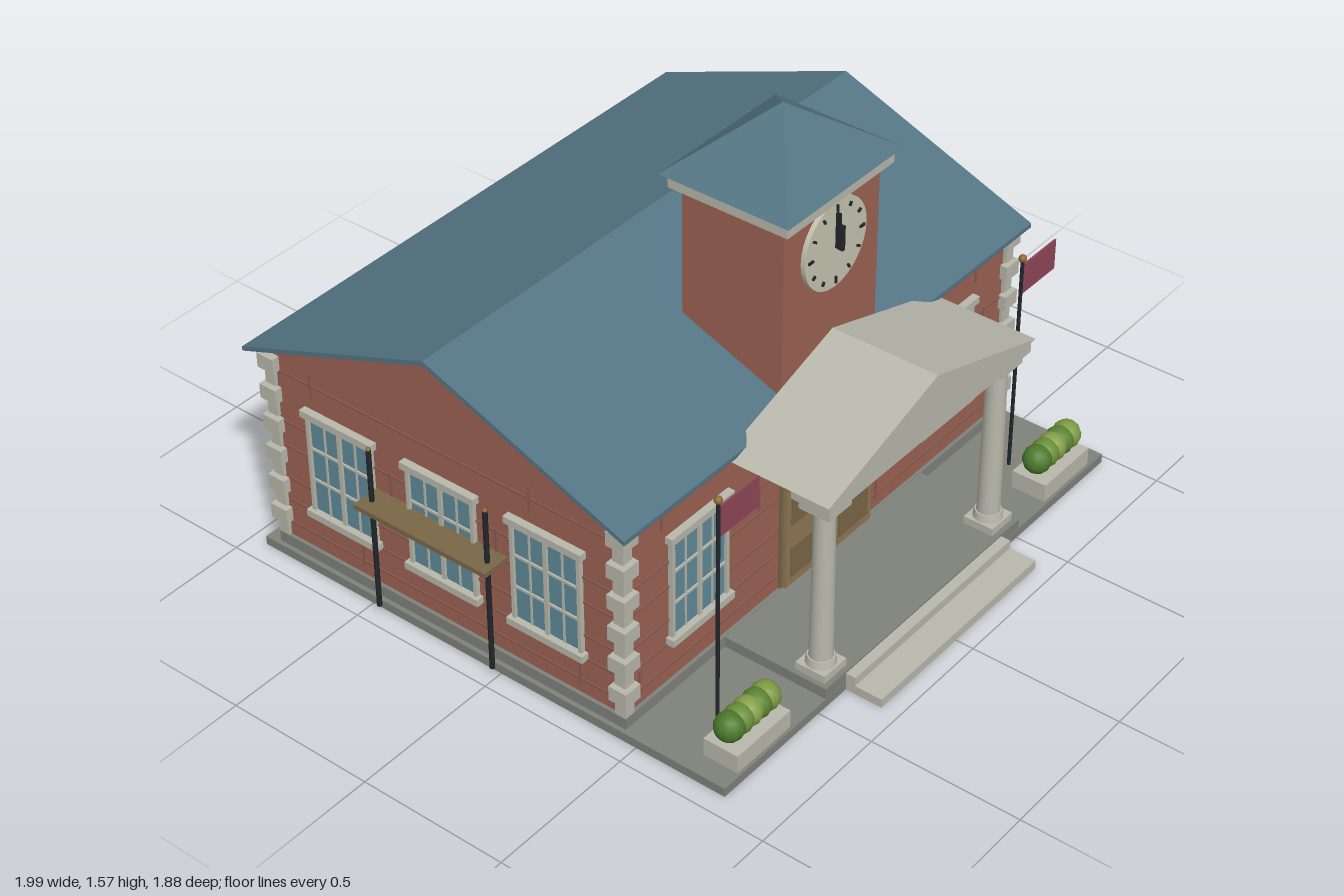
import * as THREE from 'three';

const mat = (color) => new THREE.MeshStandardMaterial({ color });
const M = {
  brick: mat(0x9c6253), mortar: mat(0x8a5a4e), stone: mat(0xb8b8ac), paving: mat(0x80827b),
  roof: mat(0x547584), glass: mat(0x5f8a99), wood: mat(0x8f7853), panel: mat(0x7a6747),
  dark: mat(0x22262a), gold: mat(0x8a6a35), flag: mat(0x8f4656), dial: mat(0xc6c4b0),
};
M.flag.side = THREE.DoubleSide;
const greens = [0x4d7a2c, 0x6b8f3a, 0x86a048, 0x5a8434, 0x7d9a45].map(mat);

function add(parent, name, geometry, material, x = 0, y = 0, z = 0) {
  const mesh = new THREE.Mesh(geometry, material);
  mesh.name = name;
  mesh.position.set(x, y, z);
  parent.add(mesh);
  return mesh;
}
// Box given by its extents on each axis
function box(parent, name, material, x0, x1, y0, y1, z0, z1) {
  return add(parent, name, new THREE.BoxGeometry(x1 - x0, y1 - y0, z1 - z0), material,
    (x0 + x1) / 2, (y0 + y1) / 2, (z0 + z1) / 2);
}
function group(parent, name, x = 0, y = 0, z = 0, turn = 0) {
  const g = new THREE.Group();
  g.name = name;
  g.position.set(x, y, z);
  g.rotation.y = turn;
  parent.add(g);
  return g;
}
const extrude = (points, depth) => new THREE.ExtrudeGeometry(
  new THREE.Shape(points.map(([x, y]) => new THREE.Vector2(x, y))), { depth, bevelEnabled: false });
// Section drawn in (z, y), centred along x
const alongX = (points, width) => extrude(points.map(([z, y]) => [-z, y]).reverse(), width)
  .rotateY(Math.PI / 2).translate(-width / 2, 0, 0);

// Sash window facing +z, standing on y = 0
function addWindow(parent, x, z, turn) {
  const w = group(parent, 'window', x, 0.23, z, turn);
  const h = 0.34, r = 0.122;
  box(w, 'glass', M.glass, -r, r, 0, h, -0.01, 0.006);
  for (const s of [-1, 1]) {
    box(w, 'frameSide', M.stone, s * r - 0.006, s * r + 0.006, 0, h, -0.01, 0.016);
    box(w, 'glazingBar', M.stone, s * 0.06 - 0.003, s * 0.06 + 0.003, 0, h, 0, 0.01);
  }
  box(w, 'mullion', M.stone, -0.007, 0.007, 0, h, 0, 0.014);
  for (const y of [h / 3, 2 * h / 3]) box(w, 'crossBar', M.stone, -r, r, y - 0.004, y + 0.004, 0, 0.012);
  box(w, 'lintel', M.stone, -0.14, 0.14, h, h + 0.024, -0.01, 0.025);
  box(w, 'sill', M.stone, -0.14, 0.14, -0.024, 0, -0.01, 0.028);
}

// Raised courses and short upright joints on one wall facing +z
function addCourses(parent, x, z, turn, half, split, rows) {
  const c = group(parent, 'brickCourses', x, 0, z, turn);
  for (const y of rows) box(c, 'course', M.mortar, -half, half, y - 0.004, y + 0.004, -0.005, 0.004);
  split.forEach((p, i) => {
    const y = [0.63, 0.42, 0.1][i % 3];
    box(c, 'joint', M.mortar, p - 0.004, p + 0.004, y, y + 0.09, -0.005, 0.004);
  });
}

export function createModel() {
  const model = new THREE.Group();
  model.name = 'townHall';
  const hall = group(model, 'hall', 0.022);
  const W = 0.925, zF = 0.44, zB = -0.88, zM = -0.22;

  // Ground slab, plinth, porch floor and steps
  box(hall, 'baseSlab', M.paving, -0.952, 0.952, 0, 0.03, -0.94, 0.815);
  box(hall, 'plinth', M.paving, -W - 0.012, W + 0.012, 0.03, 0.068, zB - 0.012, zF + 0.012);
  box(hall, 'porchFloor', M.paving, -0.488, 0.488, 0.03, 0.066, zF, 0.814);
  box(hall, 'lowerStep', M.stone, -0.392, 0.392, 0, 0.03, 0.8, 0.94);
  box(hall, 'upperStep', M.stone, -0.392, 0.392, 0.03, 0.06, 0.78, 0.847);

  // Brick walls with gable ends, and the thin pitched roof
  add(hall, 'walls', alongX([[zB, 0.06], [zF, 0.06], [zF, 0.74], [zM, 1.005], [zB, 0.74]], W * 2), M.brick);
  add(hall, 'roof', alongX([[-0.94, 0.733], [zM, 1.005], [0.487, 0.733], [0.487, 0.748], [zM, 1.022], [-0.94, 0.748]], 1.945), M.roof);
  for (const [a, b] of [[zF, zF + 0.022], [zB - 0.022, zB]]) box(hall, 'cornice', M.stone, -W, W, 0.715, 0.738, a, b);

  // Corner quoins, alternately large and small
  const quoins = group(hall, 'quoins');
  for (let i = 0; i < 12; i++) {
    const s = i % 2 ? 0.064 : 0.038, out = i % 2 ? 0.026 : 0.012, y = 0.068 + i * 0.0555;
    for (const sx of [-1, 1]) for (const sz of [-1, 1]) {
      add(quoins, 'quoin', new THREE.BoxGeometry(s, 0.05, s), M.stone,
        sx * (W + out - s / 2), y + 0.026, zM + sz * (0.66 + out - s / 2));
    }
  }

  // Raised brick joints on all four sides
  const rows = [0.12, 0.205, 0.29, 0.41, 0.5, 0.68];
  for (const s of [-1, 1]) addCourses(hall, s * 0.56, zF, 0, 0.33, [-0.2, 0.24, -0.3, 0.19], rows);
  addCourses(hall, 0, zB, Math.PI, 0.89, [-0.5, 0.3, -0.2, 0.12, -0.75, 0.35], rows);
  for (const s of [-1, 1]) addCourses(hall, s * W, zM, s * Math.PI / 2, 0.62, [-0.5, -0.2, 0.5, 0.33, 0.2, -0.33], rows);

  // Windows
  for (const s of [-1, 1]) {
    addWindow(hall, s * 0.602, zF, 0);
    addWindow(hall, s * 0.602, zB, Math.PI);
    for (const z of [0.17, -0.22, -0.61]) addWindow(hall, s * W, z, s * Math.PI / 2);
  }

  // Double entrance door
  const door = group(hall, 'entranceDoor', 0, 0, zF);
  box(door, 'doorFrame', M.panel, -0.222, 0.222, 0.066, 0.61, -0.01, 0.008);
  for (const s of [-1, 1]) {
    add(door, 'doorLeaf', new THREE.BoxGeometry(0.208, 0.53, 0.03), M.wood, s * 0.107, 0.333, 0.005);
    for (const [y, h] of [[0.155, 0.11], [0.345, 0.105], [0.492, 0.105]])
      add(door, 'doorPanel', new THREE.BoxGeometry(0.142, h, 0.01), M.panel, s * 0.118, y, 0.02);
    add(door, 'doorHandle', new THREE.BoxGeometry(0.01, 0.06, 0.014), M.dark, s * 0.034, 0.34, 0.026);
  }

  // Portico: columns, beam and pediment
  const portico = group(hall, 'portico');
  for (const s of [-1, 1]) {
    const col = group(portico, 'column', s * 0.42, 0, 0.745);
    box(col, 'columnBase', M.stone, -0.052, 0.052, 0.066, 0.092, -0.052, 0.052);
    add(col, 'columnRing', new THREE.CylinderGeometry(0.042, 0.047, 0.025, 16), M.stone, 0, 0.104);
    add(col, 'columnShaft', new THREE.CylinderGeometry(0.032, 0.037, 0.54, 16), M.stone, 0, 0.385);
    box(col, 'capital', M.stone, -0.052, 0.052, 0.652, 0.692, -0.052, 0.052);
  }
  box(portico, 'beam', M.stone, -0.488, 0.488, 0.688, 0.73, 0.678, 0.812);
  add(portico, 'pediment', extrude([[-0.503, 0.728], [0.503, 0.728], [0, 0.888]], 0.365), M.stone, 0, 0, 0.452);

  // Clock tower
  const tower = group(hall, 'tower', 0, 0, 0.263);
  box(tower, 'towerShaft', M.brick, -0.222, 0.222, 0.7, 1.34, -0.178, 0.178);
  box(tower, 'towerCornice', M.stone, -0.247, 0.247, 1.328, 1.375, -0.208, 0.208);
  const cap = new THREE.ConeGeometry(Math.SQRT1_2, 1, 4, 1).rotateY(Math.PI / 4).toNonIndexed();
  cap.scale(0.536, 0.19, 0.452);
  cap.computeVertexNormals();
  add(tower, 'towerRoof', cap, M.roof, 0, 1.47, 0);

  // Clock face, hour marks and hands at twelve
  const clock = group(tower, 'clock', 0, 1.177, 0.178);
  add(clock, 'clockFace', new THREE.CylinderGeometry(0.144, 0.144, 0.03, 32).rotateX(Math.PI / 2), M.dial);
  for (let i = 0; i < 12; i++) {
    const a = i * Math.PI / 6;
    const mark = add(clock, 'hourMark', new THREE.BoxGeometry(0.007, i % 3 ? 0.014 : 0.022, 0.008), M.dark,
      0.12 * Math.sin(a), 0.12 * Math.cos(a), 0.017);
    mark.rotation.z = -a;
  }
  box(clock, 'minuteHand', M.dark, -0.004, 0.004, -0.012, 0.105, 0.015, 0.03);
  box(clock, 'hourHand', M.dark, -0.006, 0.006, -0.012, 0.068, 0.025, 0.042);

  for (const s of [-1, 1]) {
    // Flagpole with flag
    const pole = group(hall, 'flagpole', s * 0.73, 0, 0.615);
    add(pole, 'pole', new THREE.CylinderGeometry(0.006, 0.006, 0.77, 8), M.dark, 0, 0.415);
    add(pole, 'finial', new THREE.SphereGeometry(0.013, 10, 8), M.gold, 0, 0.803);
    box(pole, 'flag', M.flag, 0.004, 0.178, 0.673, 0.778, -0.003, 0.003);

    // Planter with clipped bushes
    const planter = group(hall, 'planter', s * 0.762, 0, 0.745);
    box(planter, 'planterBox', M.stone, -0.12, 0.12, 0.03, 0.092, -0.06, 0.06);
    greens.forEach((green, i) => add(planter, 'bush', new THREE.SphereGeometry(0.047, 12, 9), green,
      (i - 2) * 0.04, 0.143, 0));
  }

  // Bench board on two posts beside the right wall
  const bench = group(model, 'sideBoard', -0.955, 0, -0.23);
  box(bench, 'board', M.panel, -0.045, 0.06, 0.41, 0.426, -0.25, 0.25);
  for (const s of [-1, 1]) {
    add(bench, 'boardPost', new THREE.CylinderGeometry(0.008, 0.008, 0.575, 8), M.dark, 0, 0.322, s * 0.22);
    add(bench, 'boardBolt', new THREE.SphereGeometry(0.008, 8, 6), M.gold, 0, 0.61, s * 0.22);
  }
  return model;
}
